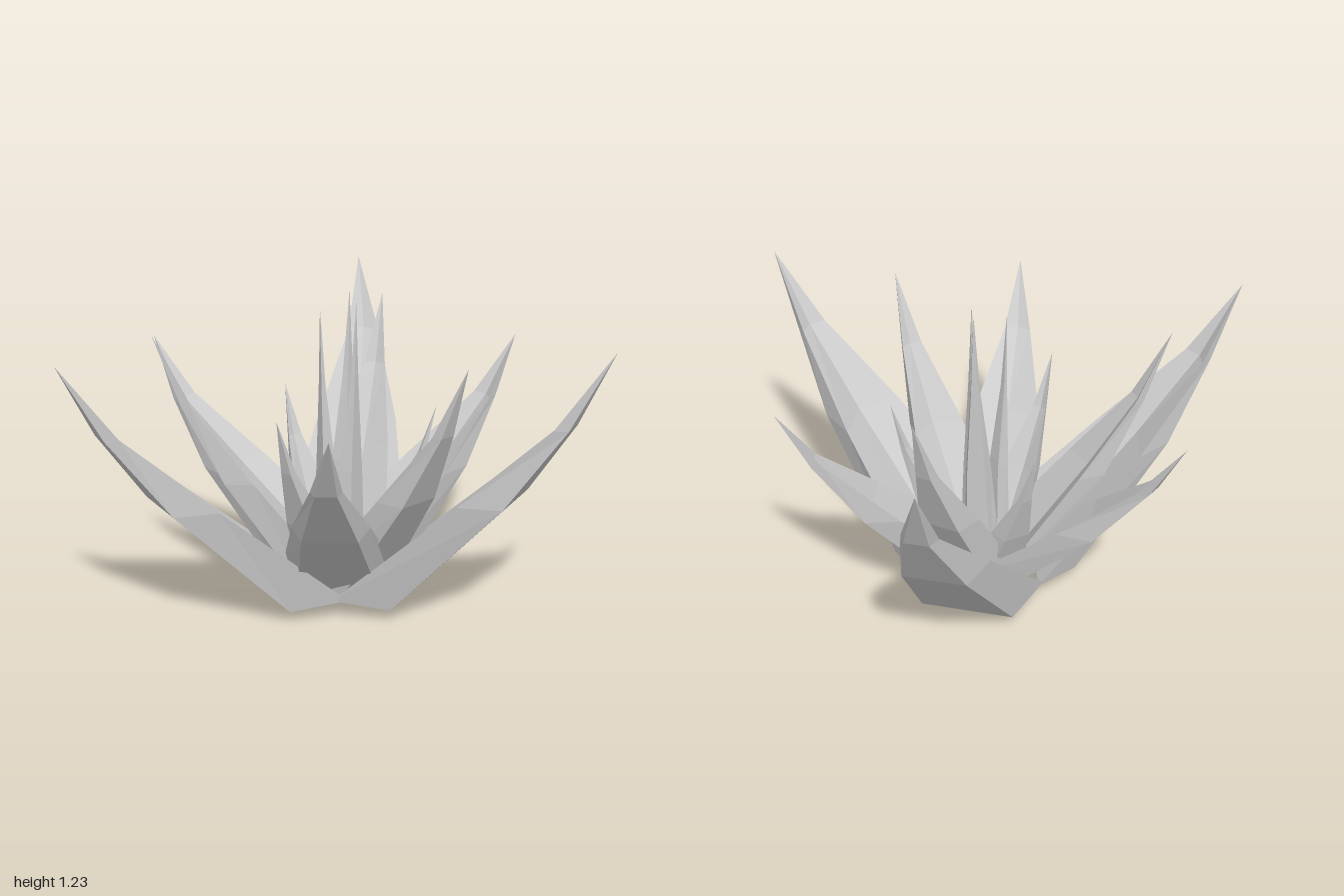
import * as THREE from 'three';

const CENTER = { x: -0.12, z: 0.07 };

// Stations along a leaf: reach and height fractions, half widths, channel depth, sideways bend
const STATIONS = [
  { f: 0, h: 0, corner: 0.185, wing: 0.27, depth: 0.21, lift: 0.03, bend: 0 },
  { f: 0.55, h: 0.44, corner: 0.12, wing: 0.17, depth: 0.16, lift: 0, bend: 0.8 },
  { f: 0.82, h: 0.73, corner: 0.045, wing: 0.066, depth: 0.05, lift: 0, bend: 1 },
  { f: 1, h: 1, corner: 0, wing: 0, depth: 0, lift: 0, bend: 0 },
];

// Whorls of three leaves, from outside in; tips are x, y, z and an optional bend
const WHORLS = [
  { name: 'outerLeaf', r0: 0.33, size: 1, y0: 0.06,
    tips: [[0.97, 1.16, 0.3, 0.015], [-0.86, 1.13, 0.91], [-0.36, 1.14, -1, 0.035]] },
  { name: 'secondLeaf', r0: 0.18, size: 0.85, y0: 0.08,
    tips: [[0.15, 0.99, 1, 0.02], [-0.97, 0.96, -0.1, -0.02], [0.46, 0.96, -0.54]] },
  { name: 'middleLeaf', r0: 0.17, size: 0.68, y0: 0.07,
    tips: [[0.48, 1.1, 0.45], [-0.73, 1.12, 0.42], [-0.12, 1.09, -0.56]] },
  { name: 'innerLeaf', r0: 0.13, size: 0.46, y0: 0.03,
    tips: [[0.25, 0.79, -0.04], [-0.42, 0.78, -0.16], [-0.21, 0.86, 0.51]] },
  { name: 'heartLeaf', r0: 0.09, size: 0.3, y0: 0.01, angles: [0.3, 2.4, 4.5],
    tips: [[-0.03, 1.22, 0.11], [-0.16, 1.2, 0.15], [-0.09, 1.24, 0]] },
];

// Tapering five-sided leaf: flat back, two flanks and a folded inner side
function leafGeometry([tx, ty, tz, bend = 0], angle, r0, size, y0) {
  const ox = Math.cos(angle), oz = Math.sin(angle);
  const bx = CENTER.x + ox * r0, bz = CENTER.z + oz * r0;
  const positions = [], index = [];
  for (const s of STATIONS) {
    const x = bx + (tx - bx) * s.f, z = bz + (tz - bz) * s.f;
    const y = y0 + (ty - y0) * s.h;
    const section = [
      [0, -s.corner, 0], [0, s.corner, 0],
      [-s.depth, s.wing, s.lift], [-s.depth * 0.5, 0, 0], [-s.depth, -s.wing, s.lift],
    ];
    for (const [out, across, up] of section) {
      const side = across + s.bend * bend;
      positions.push(
        x + size * (ox * out - oz * side),
        y + size * up,
        z + size * (oz * out + ox * side));
    }
  }
  for (let i = 0; i < STATIONS.length - 1; i++) {
    for (let j = 0; j < 5; j++) {
      const a = i * 5 + j, b = i * 5 + (j + 1) % 5;
      index.push(a, a + 5, b);
      if (i < STATIONS.length - 2) index.push(b, a + 5, b + 5);
    }
  }
  index.push(3, 4, 0, 3, 0, 1, 3, 1, 2); // base cap
  const geometry = new THREE.BufferGeometry();
  geometry.setAttribute('position', new THREE.Float32BufferAttribute(positions, 3));
  geometry.setIndex(index);
  geometry.computeVertexNormals();
  return geometry;
}

export function createModel() {
  const model = new THREE.Group();
  model.name = 'spikyPlant';
  const material = new THREE.MeshStandardMaterial({ color: 0xcccccc, flatShading: true });
  for (const { name, r0, size, y0, tips, angles } of WHORLS) {
    const whorl = new THREE.Group();
    whorl.name = name + 'Whorl';
    tips.forEach((tip, i) => {
      const angle = angles ? angles[i] : Math.atan2(tip[2] - CENTER.z, tip[0] - CENTER.x);
      const leaf = new THREE.Mesh(leafGeometry(tip, angle, r0, size, y0), material);
      leaf.name = name;
      whorl.add(leaf);
    });
    model.add(whorl);
  }

  // Faceted bud closing the middle of the rosette
  const bud = new THREE.Mesh(new THREE.IcosahedronGeometry(0.1), material);
  bud.name = 'bud';
  bud.position.set(CENTER.x, 0.1, CENTER.z);
  model.add(bud);
  return model;
}
